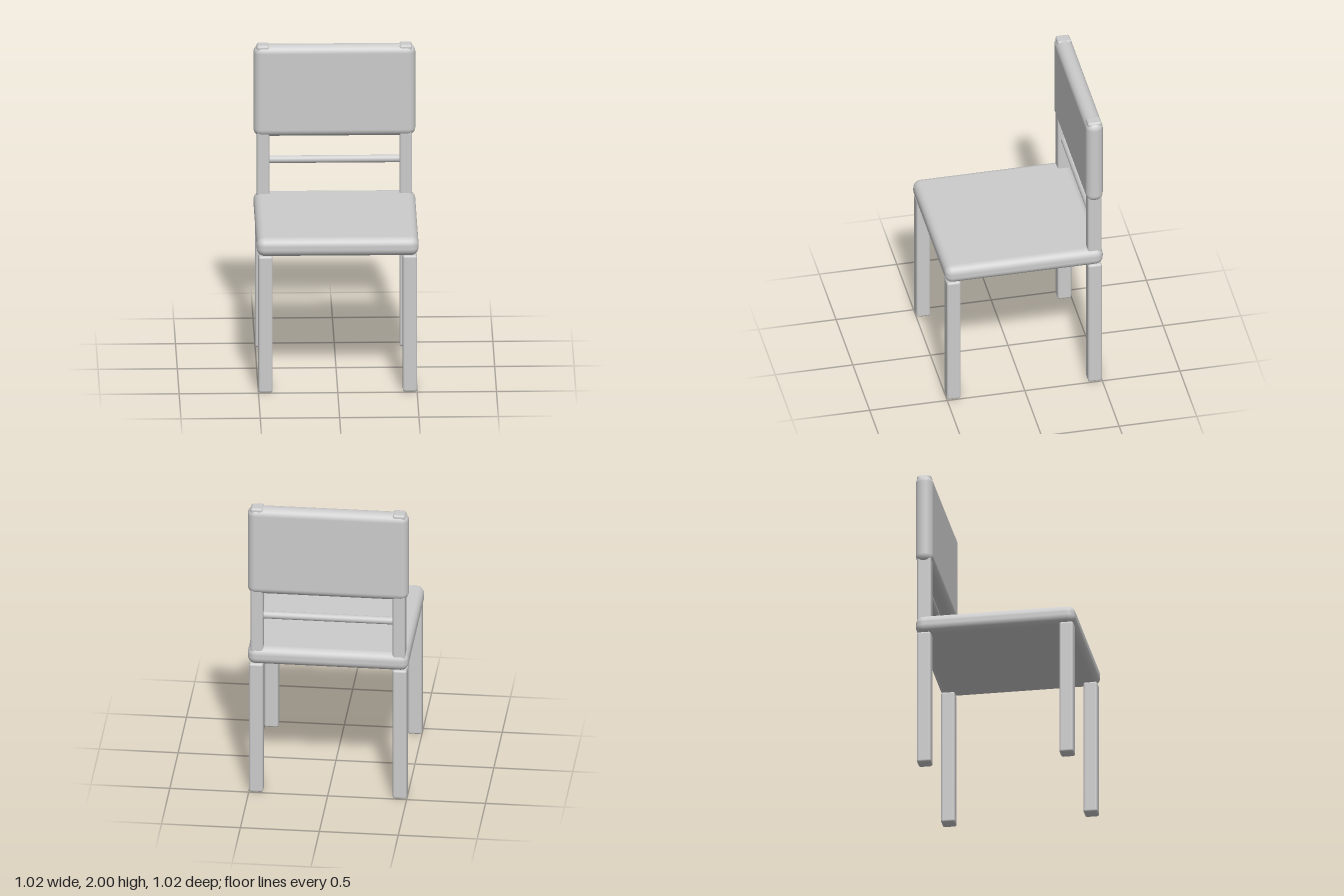
import * as THREE from 'three';
import { RoundedBoxGeometry } from 'three/addons/geometries/RoundedBoxGeometry.js';

export function createModel() {
  const chair = new THREE.Group();
  chair.name = 'chair';
  const material = new THREE.MeshStandardMaterial({ color: 0xcccccc });

  const add = (name, geometry, x, y, z) => {
    const mesh = new THREE.Mesh(geometry, material);
    mesh.name = name;
    mesh.position.set(x, y, z);
    chair.add(mesh);
  };
  // Soft-edged block spanning the heights bottom to top
  const block = (name, width, depth, bottom, top, radius, x, z) =>
    add(name, new RoundedBoxGeometry(width, top - bottom, depth, 5, radius), x, (bottom + top) / 2, z);

  const inset = 0.455; // leg and post distance from the centre

  // Cushioned seat and back panel
  block('seat', 1.02, 1.02, 0.9, 1.02, 0.05, 0, 0);
  block('backPanel', 1.02, 0.11, 1.395, 1.998, 0.05, 0, -inset);

  // Legs, and the posts that run up through the back panel
  for (const [side, s] of [['left', 1], ['right', -1]]) {
    block(side + 'FrontLeg', 0.09, 0.09, 0, 0.905, 0.015, s * inset, inset);
    block(side + 'BackLeg', 0.09, 0.09, 0, 0.905, 0.015, s * inset, -inset);
    block(side + 'BackPost', 0.08, 0.09, 0.95, 2, 0.015, s * 0.45, -inset);
  }

  // Round rail between the posts
  const rail = new THREE.CylinderGeometry(0.024, 0.024, 0.84, 24).rotateZ(Math.PI / 2);
  add('backRail', rail, 0, 1.235, -inset);

  return chair;
}
